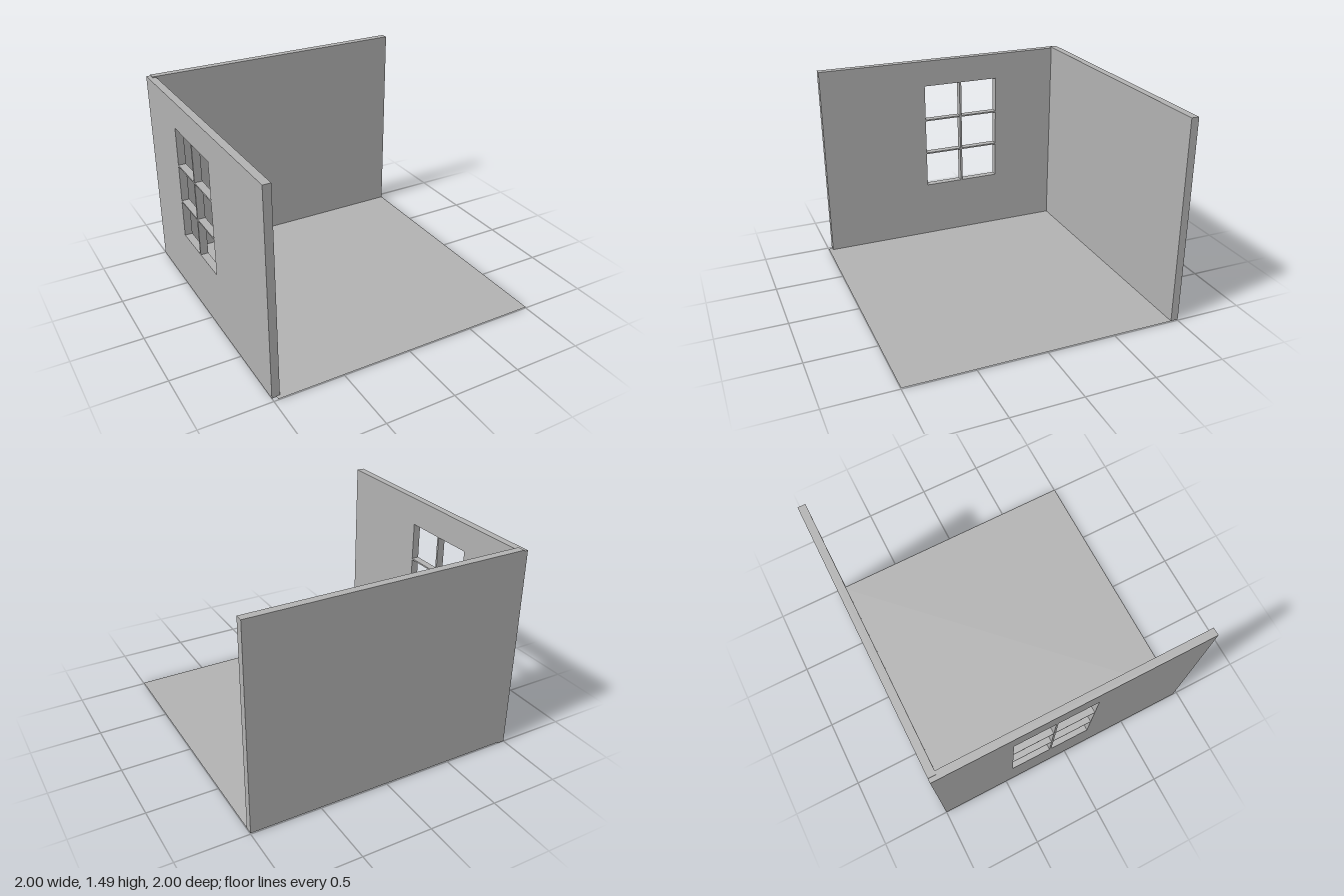
import * as THREE from 'three';

const THICK = 0.055;   // wall thickness
const HEIGHT = 1.478;  // wall height
const LIFT = 0.007;    // floor and back wall sit slightly above the window wall's foot

// Clockwise or counter-clockwise rectangle as a path
function rect(PathType, x0, y0, x1, y1) {
  const p = new PathType();
  p.moveTo(x0, y0);
  p.lineTo(x1, y0);
  p.lineTo(x1, y1);
  p.lineTo(x0, y1);
  p.closePath();
  return p;
}

export function createModel() {
  const model = new THREE.Group();
  model.name = 'roomCorner';
  const plaster = new THREE.MeshStandardMaterial({ color: 0xb2b2b2, side: THREE.DoubleSide });
  plaster.name = 'grey plaster';

  function add(name, geometry) {
    const mesh = new THREE.Mesh(geometry, plaster);
    mesh.name = name;
    model.add(mesh);
    return mesh;
  }

  // Floor: a single thin sheet
  const floor = add('floor', new THREE.PlaneGeometry(1.97, 1.97).rotateX(-Math.PI / 2));
  floor.position.set(0.015, LIFT, 0.015);

  // Solid back wall
  const back = add('backWall', new THREE.BoxGeometry(1.97, HEIGHT, THICK));
  back.position.set(0.015, LIFT + HEIGHT / 2, -1 + THICK / 2);

  // Window wall: drawn along -z, with six panes cut out so the bars remain
  const outline = rect(THREE.Shape, -0.97, 0, 1, HEIGHT);
  const columns = [[-0.151, 0.139], [0.154, 0.449]];
  const rows = [[0.44, 0.711], [0.722, 0.99], [1.001, 1.278]];
  for (const [a0, a1] of columns) {
    for (const [y0, y1] of rows) outline.holes.push(rect(THREE.Path, a0, y0, a1, y1));
  }
  const wall = new THREE.ExtrudeGeometry(outline, { depth: THICK, bevelEnabled: false });
  add('windowWall', wall.rotateY(Math.PI / 2).translate(-1, 0, 0));

  return model;
}
